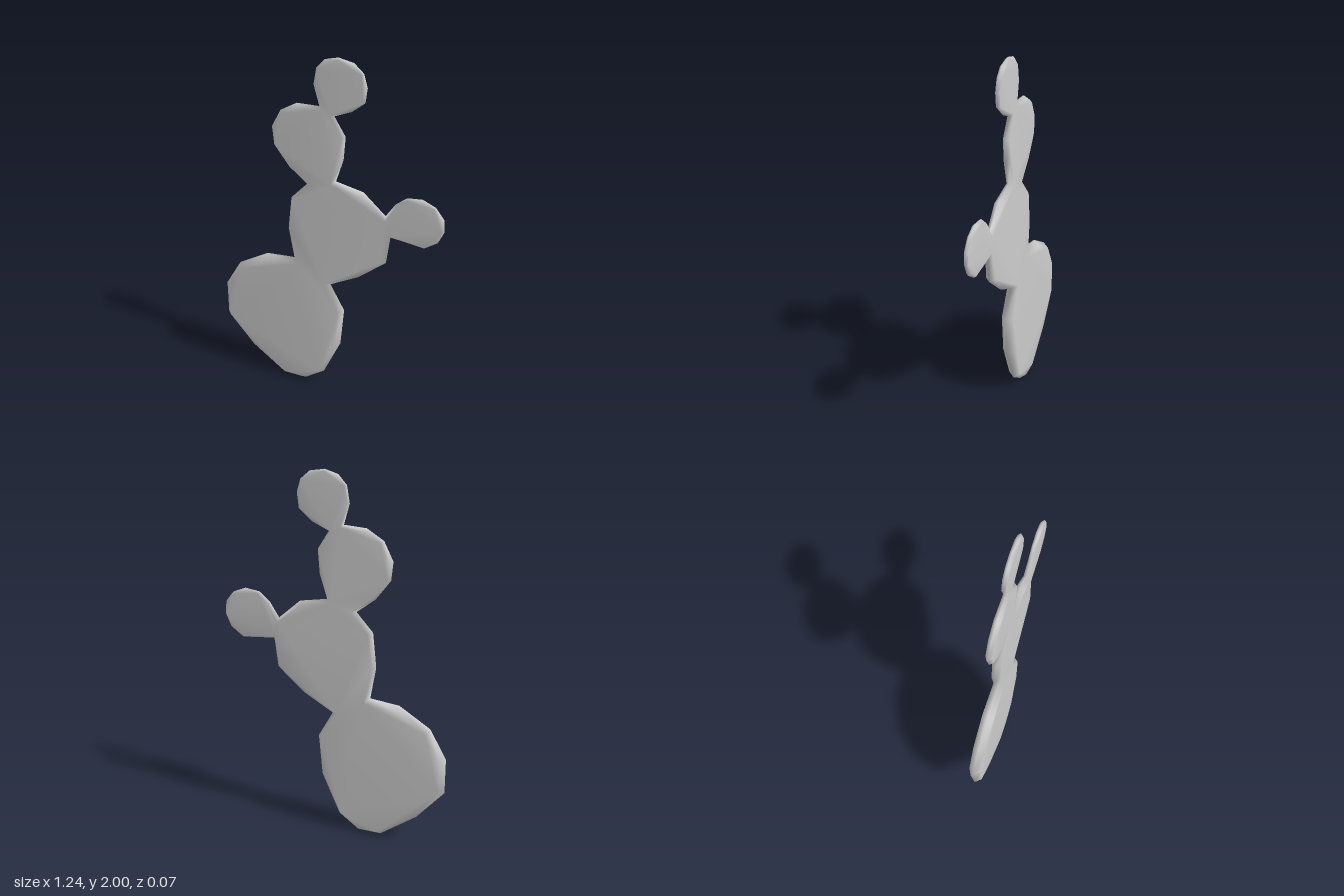
import * as THREE from 'three';

// Silhouette, anticlockwise, one row per run; the points between runs are the joints
const outline = [
  [-0.27, 0], [-0.14, 0], [-0.03, 0.08], [0.07, 0.31], [0.09, 0.54],
  [0.01, 0.69],
  [0.17, 0.78], [0.32, 0.91],
  [0.34, 1.07],
  [0.44, 1.06], [0.52, 1.05], [0.59, 1.1], [0.62, 1.17], [0.615, 1.24], [0.57, 1.3], [0.5, 1.33], [0.42, 1.32], [0.36, 1.27],
  [0.31, 1.19],
  [0.19, 1.3],
  [0.04, 1.33],
  [0.08, 1.46], [0.09, 1.59],
  [0.03, 1.69],
  [0.12, 1.73], [0.19, 1.79], [0.2, 1.87], [0.18, 1.94], [0.13, 1.985], [0.05, 2], [-0.02, 1.98], [-0.065, 1.93], [-0.08, 1.84],
  [-0.05, 1.73],
  [-0.17, 1.725], [-0.26, 1.67], [-0.31, 1.57], [-0.3, 1.47], [-0.22, 1.36],
  [-0.12, 1.28],
  [-0.21, 1.18], [-0.23, 0.99],
  [-0.2, 0.81],
  [-0.36, 0.795], [-0.53, 0.69], [-0.62, 0.53], [-0.62, 0.33], [-0.47, 0.15],
].map(([x, y]) => new THREE.Vector2(x, y));
const N = outline.length;

// Each pad: half thickness and the runs of outline points it owns
const pads = [
  { name: 'basePad', half: 0.033, runs: [[0, 5], [42, 47]] },
  { name: 'middlePad', half: 0.025, runs: [[5, 8], [18, 20], [39, 42]] },
  { name: 'upperPad', half: 0.018, runs: [[20, 23], [33, 39]] },
  { name: 'sidePad', half: 0.012, runs: [[8, 18]] },
  { name: 'topPad', half: 0.012, runs: [[23, 33]] },
];
for (const pad of pads) {
  pad.ids = pad.runs.flatMap(([a, b]) => Array.from({ length: b - a + 1 }, (_, k) => a + k));
}

// Half thickness at an outline point: joints average the two pads that meet
function halfAt(i) {
  const owners = pads.filter((pad) => pad.ids.includes(i));
  return owners.reduce((sum, pad) => sum + pad.half, 0) / owners.length;
}

// Outline point moved inwards along the corner bisector
function insetPoint(i, distance) {
  const p = outline[i];
  const normal = (a, b) => new THREE.Vector2(a.y - b.y, b.x - a.x).normalize();
  const n1 = normal(outline[(i + N - 1) % N], p);
  const n2 = normal(p, outline[(i + 1) % N]);
  const n = n1.clone().add(n2).normalize();
  return p.clone().addScaledVector(n, distance / Math.max(0.6, n.dot(n1)));
}

export function createModel() {
  const group = new THREE.Group();
  group.name = 'cactus';
  const material = new THREE.MeshStandardMaterial({ color: 0xcccccc });

  // Three rings of vertices: front face edge, pointed rim, back face edge
  const inset = outline.map((_, i) => insetPoint(i, halfAt(i) * 0.8));
  const positions = [];
  for (const side of [1, 0, -1]) {
    for (let i = 0; i < N; i++) {
      const p = side ? inset[i] : outline[i];
      positions.push(p.x, p.y, side * halfAt(i));
    }
  }

  // Faces of every pad: flat front and back plus the bevelled rim
  for (const pad of pads) {
    const { ids } = pad;
    pad.index = [];
    for (const tri of THREE.ShapeUtils.triangulateShape(ids.map((i) => inset[i]), [])) {
      const [a, b, c] = tri.map((k) => ids[k]);
      pad.index.push(a, b, c, 2 * N + a, 2 * N + c, 2 * N + b);
    }
    for (const i of ids) {
      const j = (i + 1) % N;
      const isEdge = ids.includes(j) && ids[(ids.indexOf(i) + 1) % ids.length] === j;
      if (!isEdge) continue;
      for (const ring of [0, N]) {
        const a = ring + i, b = ring + j, c = a + N, d = b + N;
        pad.index.push(a, c, d, a, d, b);
      }
    }
  }

  // Normals are smoothed over the whole plant so pads blend at their joints
  const whole = new THREE.BufferGeometry();
  whole.setAttribute('position', new THREE.Float32BufferAttribute(positions, 3));
  whole.setIndex(pads.flatMap((pad) => pad.index));
  whole.computeVertexNormals();

  for (const pad of pads) {
    const geometry = whole.clone();
    geometry.setIndex(pad.index);
    const mesh = new THREE.Mesh(geometry, material);
    mesh.name = pad.name;
    group.add(mesh);
  }
  return group;
}
